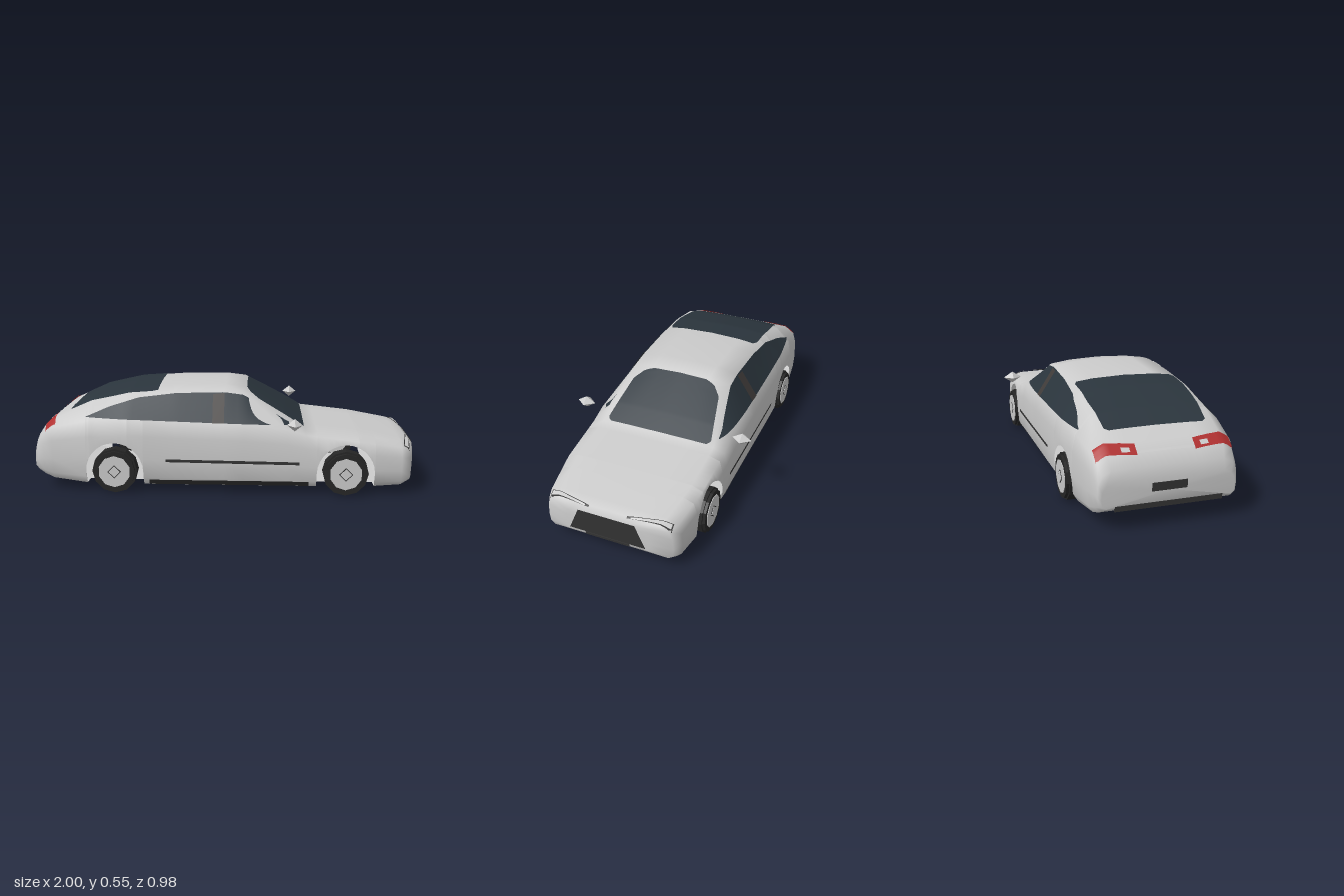
import * as THREE from 'three';

const mat = (color, flatShading = false) =>
  new THREE.MeshStandardMaterial({ color, flatShading, side: THREE.DoubleSide });
const PAINT = mat(0xcccccc), GLASS = mat(0x2b353d), DARK = mat(0x333333), RED = mat(0xb03030);
const TYRE = mat(0x262626, true), RIM = mat(0xcccccc, true), PILLAR = mat(0x403c3a), LAMP = mat(0xe0e0e0);

// Body stations: x, top, roof edge z, belt y, belt z
const BODY = [
  [-1, .24, .27, .225, .30],
  [-.985, .295, .27, .27, .315],
  [-.95, .345, .28, .315, .325],
  [-.9, .385, .285, .345, .338],
  [-.7, .48, .285, .39, .362],
  [-.5, .53, .28, .40, .368],
  [-.25, .553, .275, .39, .37],
  [0, .558, .27, .38, .37],
  [.1, .545, .27, .375, .37],
  [.32, .41, .30, .355, .37],
  [.42, .345, .31, .325, .37],
  [.7, .315, .31, .29, .365],
  [.92, .28, .28, .255, .335],
  [.97, .267, .26, .24, .31],
  [.995, .248, .18, .225, .2],
];
const WHEELS = [-.57, .63], WHEEL_Y = .125, ARCH = .15;

// Linear interpolation in a table whose first column is x
function lookup(rows, x) {
  let i = 1;
  while (i < rows.length - 1 && rows[i][0] < x) i++;
  const a = rows[i - 1], b = rows[i];
  const t = THREE.MathUtils.clamp((x - a[0]) / (b[0] - a[0]), 0, 1);
  return a.map((v, k) => v + (b[k] - v) * t);
}

// Half cross-section as [z, y] points, from sill up to the centre line
function section(x) {
  const [, yt, rw, by, bz] = lookup(BODY, x);
  const yb = .05 + .07 * Math.abs(x) ** (x < 0 ? 12 : 30);
  const hw = bz + .021, h = by - yb, ey = by + (yt - by) * .87;
  return [[hw * .92, yb], [hw * .985, yb + h * .12], [hw, yb + h * .4], [hw * .99, yb + h * .75],
    [bz, by], [rw, ey], [rw * .6, ey + (yt - ey) * .7], [0, yt]];
}

// Height of the upper surface at z, and half width of the side at y
function topY(x, z) {
  const s = section(x);
  for (let i = s.length - 1; i > 3; i--) {
    const [z0, y0] = s[i], [z1, y1] = s[i - 1];
    if (Math.abs(z) <= z1) return y0 + (y1 - y0) * (Math.abs(z) - z0) / (z1 - z0);
  }
  return s[3][1];
}
function sideZ(x, y) {
  const s = section(x);
  for (let i = 1; i < s.length; i++) {
    const [z0, y0] = s[i - 1], [z1, y1] = s[i];
    if (y <= y1) return z0 + (z1 - z0) * Math.max(0, (y - y0) / (y1 - y0));
  }
  return 0;
}

// Skin between rows of equally many points
function loft(rows) {
  const n = rows[0].length, index = [];
  for (let i = 0; i < rows.length - 1; i++)
    for (let j = 0; j < n - 1; j++) {
      const a = i * n + j, b = a + n;
      index.push(a, b, a + 1, b, b + 1, a + 1);
    }
  const g = new THREE.BufferGeometry();
  g.setAttribute('position', new THREE.Float32BufferAttribute(rows.flat(2), 3));
  g.setIndex(index);
  g.computeVertexNormals();
  return g;
}
function patch(nu, nv, f) {
  const rows = [];
  for (let i = 0; i <= nu; i++) {
    rows.push([]);
    for (let j = 0; j <= nv; j++) rows[i].push(f(i / nu, j / nv));
  }
  return loft(rows);
}

// Panel lying on the top: outline given as x, half width
const topPanel = (outline) => patch(32, 12, (u, v) => {
  const x = THREE.MathUtils.lerp(outline[0][0], outline.at(-1)[0], u);
  const z = lookup(outline, x)[1] * (1 - 2 * v);
  return [x, topY(x, z) + .005, z];
});
// Panel lying on a side: outline given as x, low y, high y
const sidePanel = (outline, side, lift = .004) => patch(40, 8, (u, v) => {
  const x = THREE.MathUtils.lerp(outline[0][0], outline.at(-1)[0], u);
  const [, lo, hi] = lookup(outline, x);
  const y = lo + (hi - lo) * v;
  return [x, y, side * (sideZ(x, y) + lift)];
});
// Lamp on a body corner: z range, and x range at both ends
const cornerPanel = (z0, z1, a, b, side, lift = .005) => patch(6, 8, (u, v) => {
  const x = THREE.MathUtils.lerp(a[0] + (b[0] - a[0]) * v, a[1] + (b[1] - a[1]) * v, u);
  const z = z0 + (z1 - z0) * v;
  return [x, topY(x, z) + lift, z * side];
});

export function createModel() {
  const car = new THREE.Group();
  car.name = 'car';
  const add = (name, geometry, material, parent = car) => {
    const m = new THREE.Mesh(geometry, material);
    m.name = name;
    parent.add(m);
    return m;
  };
  const box = (name, size, pos) =>
    add(name, new THREE.BoxGeometry(...size), DARK).position.set(...pos);

  // Stations, closer together at the wheel arches
  const xs = BODY.map((r) => r[0]);
  for (const c of WHEELS) {
    for (let k = 0; k <= 14; k++) xs.push(c - ARCH * Math.cos(Math.PI * k / 14));
    xs.push(c - ARCH - .001, c + ARCH + .001);
  }
  xs.sort((a, b) => a - b);

  // Body shell with open arches, and a floor that narrows between the wheels
  const shell = [], floor = [];
  for (const x of xs) {
    const dx = Math.min(...WHEELS.map((c) => Math.abs(x - c)));
    const inArch = dx <= ARCH + 1e-6;
    const arch = inArch ? WHEEL_Y + Math.sqrt(Math.max(0, ARCH * ARCH - dx * dx)) : 0;
    const s = section(x), yb = s[0][1];
    const half = s.map(([z, y], i) => (i < 4 && arch > y ? [x, arch, sideZ(x, arch)] : [x, y, z]));
    shell.push([...half, ...half.slice(0, -1).reverse().map(([a, b, c]) => [a, b, -c])]);
    const fw = inArch ? .28 : s[0][0];
    floor.push([[x, yb, -fw], [x, yb, fw]]);
  }
  for (const rows of [shell, floor]) {
    rows.unshift(rows[0].map(() => [-1, .18, 0]));
    rows.push(rows[0].map(() => [.995, .18, 0]));
  }
  add('bodyShell', loft(shell), PAINT);
  add('floor', loft(floor), PAINT);

  // Glass
  add('windscreen', topPanel([[.115, .15], [.13, .2], [.18, .245], [.4, .29], [.415, .27]]), GLASS);
  add('rearWindow', topPanel([[-.82, .23], [-.81, .25], [-.6, .265], [-.38, .265], [-.35, .25]]), GLASS);

  for (const side of [1, -1]) {
    const label = side > 0 ? 'Left' : 'Right';
    add('sideWindow' + label, sidePanel([[-.72, .405, .406], [-.6, .401, .455], [-.45, .397, .50],
      [-.25, .391, .523], [0, .383, .528], [.1, .38, .515], [.32, .373, .392], [.37, .366, .367]],
    side), GLASS);
    add('doorPillar' + label, sidePanel([[-.06, .385, .52], [0, .385, .525]], side, .007), PILLAR);
    add('rubStrip' + label, sidePanel([[-.3, .18, .195], [.39, .172, .187]], side), DARK);
    add('sillStrip' + label, sidePanel([[-.39, .052, .08], [.44, .052, .08]], side), DARK);

    // Lamps
    add('tailLamp' + label, cornerPanel(.14, .33, [-.955, -.91], [-.94, -.885], side), RED);
    add('reverseLamp' + label, cornerPanel(.17, .21, [-.945, -.925], [-.942, -.922], side, .008), LAMP);
    add('headlampRim' + label, cornerPanel(.1, .32, [.972, .98], [.93, .962], side), DARK);
    add('headlamp' + label, cornerPanel(.12, .315, [.973, .979], [.935, .957], side, .007), LAMP);

    // Mirror
    const mirror = add('mirror' + label, new THREE.OctahedronGeometry(1), RIM);
    mirror.scale.set(.04, .032, .05);
    mirror.position.set(.36, .395, side * .44);
  }

  // Grille and its lower slot
  const grille = new THREE.Shape([[-.2, .123], [.2, .123], [.148, .247], [-.148, .247]]
    .map(([a, b]) => new THREE.Vector2(a, b)));
  const grillePanel = add('grille', new THREE.ShapeGeometry(grille), DARK);
  grillePanel.rotation.y = Math.PI / 2;
  grillePanel.position.x = .999;
  box('lowerSlot', [.006, .012, .23], [.997, .114, 0]);

  // Rear trim
  box('rearPanel', [.006, .04, .17], [-1, .2, 0]);
  box('rearBumperStrip', [.015, .025, .52], [-.994, .115, 0]);
  add('bootStrip', topPanel([[-.95, .14], [-.94, .14]]), LAMP);

  // Wheels: faceted tyre, rim on both faces and a square hub
  for (const x of WHEELS)
    for (const side of [1, -1]) {
      const wheel = new THREE.Group();
      wheel.name = (x > 0 ? 'front' : 'rear') + 'Wheel' + (side > 0 ? 'Left' : 'Right');
      wheel.position.set(x, WHEEL_Y, side * .35);
      wheel.rotation.x = side * Math.PI / 2;
      const disc = (name, radius, width, sides, material) =>
        add(name, new THREE.CylinderGeometry(radius, radius, width, sides), material, wheel);
      disc('tyre', .108, .088, 12, TYRE);
      disc('tread', .118, .06, 12, TYRE);
      disc('rim', .084, .094, 10, RIM);
      disc('hubRing', .036, .098, 4, DARK);
      disc('hub', .03, .101, 4, RIM);
      car.add(wheel);
    }
  return car;
}
